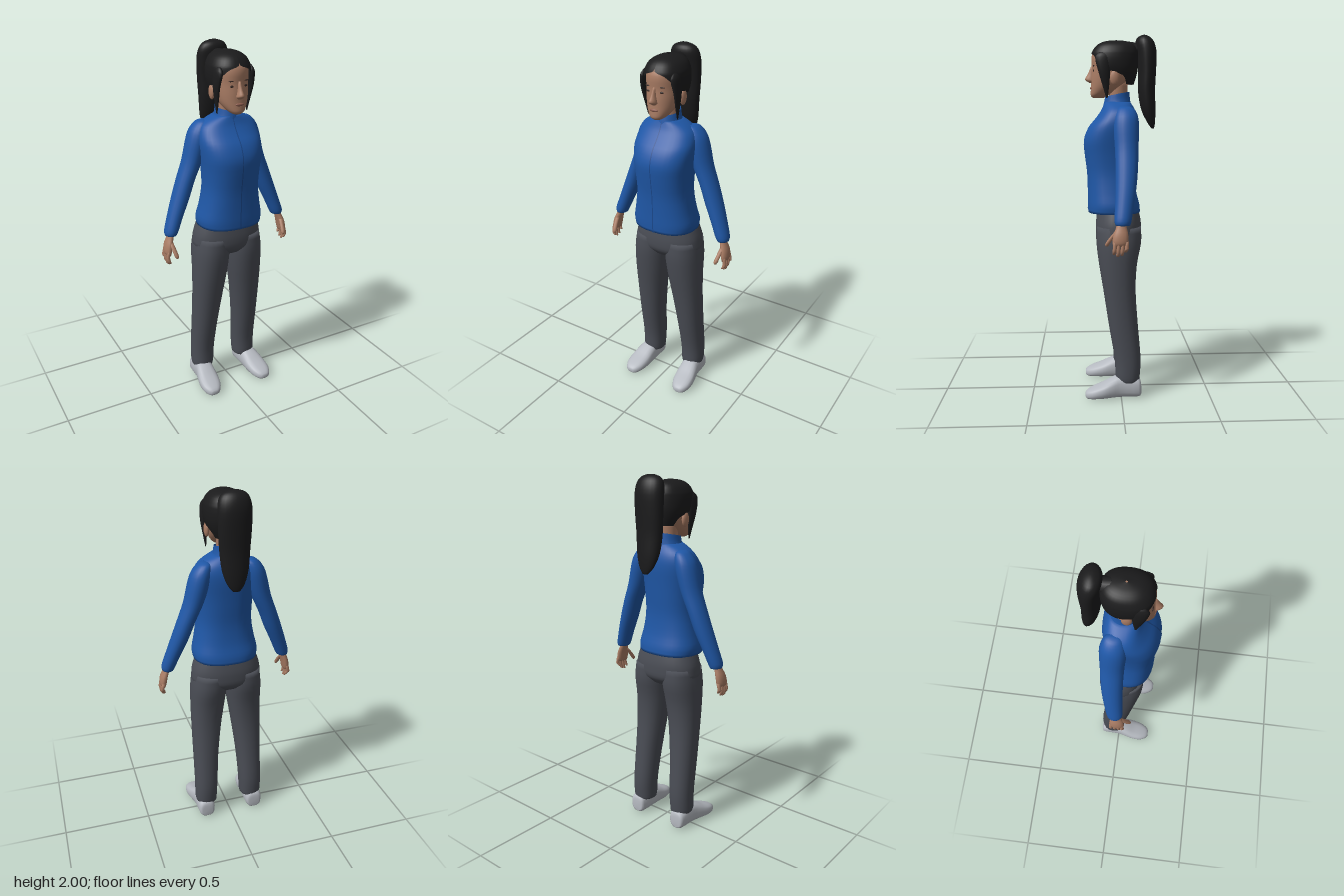
import * as THREE from 'three';

const mat = (name, color, side = THREE.FrontSide) => {
  const m = new THREE.MeshStandardMaterial({ color, side });
  m.name = name;
  return m;
};

// Smooth skin over level cross-sections, listed from low to high.
// Row: [y, xMin, xMax, zMin, zMax, a]; a leaves the front open by that angle on each side.
function loft(rows, { seg = 24, power = 2, steps = 3, open = false, caps = true, from = 0, to = Math.PI * 2, grow = 0 } = {}) {
  const spline = new THREE.CubicInterpolant(rows.map((_, i) => i), rows.flatMap(r => [...r.slice(0, 5), r[5] || 0]), 6);
  const n = (rows.length - 1) * steps, cols = open ? seg + 1 : seg, pos = [], idx = [];
  const bend = v => Math.sign(v) * Math.abs(v) ** (2 / power);
  for (let i = 0; i <= n; i++) {
    const [y, x0, x1, z0, z1, a] = spline.evaluate(i / steps);
    const gap = Math.max(a, 0);
    for (let j = 0; j < cols; j++) {
      const t = from + gap + (to - from - 2 * gap) * j / seg;
      pos.push((x0 + x1) / 2 + ((x1 - x0) / 2 + grow) * bend(Math.sin(t)), y,
        (z0 + z1) / 2 + ((z1 - z0) / 2 + grow) * bend(Math.cos(t)));
    }
  }
  for (let i = 0; i < n; i++) {
    for (let j = 0; j < seg; j++) {
      const k = (j + 1) % cols, a = i * cols, b = a + cols;
      idx.push(a + j, a + k, b + k, a + j, b + k, b + j);
    }
  }
  if (caps && !open) {
    for (const [r, base] of [[rows[0], 0], [rows[rows.length - 1], n * cols]]) {
      const c = pos.length / 3;
      pos.push((r[1] + r[2]) / 2, r[0], (r[3] + r[4]) / 2);
      for (let j = 0; j < seg; j++) {
        const k = (j + 1) % seg;
        if (base) idx.push(c, base + j, base + k);
        else idx.push(c, base + k, base + j);
      }
    }
  }
  const g = new THREE.BufferGeometry();
  g.setAttribute('position', new THREE.Float32BufferAttribute(pos, 3));
  g.setIndex(idx);
  g.computeVertexNormals();
  return g;
}

// Rows that are symmetric about x = 0: [y, halfWidth, zMin, zMax, a]
const sym = rows => rows.map(([y, w, z0, z1, a]) => [y, -w, w, z0, z1, a || 0]);

// Rounded finger through centre points [x, y, z], low to high
const finger = (pts, r) => loft(pts.map(([x, y, z], i) => {
  const k = i === 0 ? r * 0.5 : r;
  return [y, x - k, x + k, z - k, z + k];
}), { seg: 8, steps: 2 });

function ball(x, y, z, rx, ry, rz) {
  return new THREE.SphereGeometry(1, 14, 10).scale(rx, ry, rz).translate(x, y, z);
}

function mirrored(g) {
  const m = g.clone().scale(-1, 1, 1), ix = m.index.array;
  for (let i = 0; i < ix.length; i += 3) [ix[i], ix[i + 1]] = [ix[i + 1], ix[i]];
  m.computeVertexNormals();
  return m;
}

export function createModel() {
  const model = new THREE.Group();
  model.name = 'woman';
  const blue = mat('jacket blue', 0x1f57a6, THREE.DoubleSide);
  const navy = mat('seam navy', 0x1a488c, THREE.DoubleSide);
  const grey = mat('trouser grey', 0x4a4d55);
  const skin = mat('skin', 0xa97c64);
  const lip = mat('lips', 0x8f5f50);
  const black = mat('hair black', 0x1b1b1c, THREE.DoubleSide);
  const shoe = mat('shoe grey', 0xb6bac1);
  const dark = mat('eye brown', 0x3a2b26);

  const add = (name, geo, material) => {
    const mesh = new THREE.Mesh(geo, material);
    mesh.name = name;
    model.add(mesh);
  };
  const pair = (name, geo, material) => {
    add(name + 'Left', geo, material);
    add(name + 'Right', mirrored(geo), material);
  };

  // Jacket body, zip seam and collar
  const body = sym([
    [1.035, 0.178, -0.112, 0.178], [1.08, 0.183, -0.108, 0.18], [1.15, 0.168, -0.09, 0.18],
    [1.25, 0.153, -0.08, 0.183], [1.35, 0.156, -0.085, 0.195], [1.43, 0.165, -0.09, 0.2],
    [1.5, 0.172, -0.095, 0.175], [1.55, 0.168, -0.094, 0.135], [1.59, 0.15, -0.085, 0.106],
    [1.62, 0.11, -0.07, 0.092], [1.64, 0.065, -0.055, 0.085]]);
  add('jacketBody', loft(body, { seg: 36, power: 2.4 }), blue);
  add('zipSeam', loft(body, { seg: 2, power: 2.4, open: true, from: -0.008, to: 0.008, grow: 0.002 }), navy);
  const collar = loft(sym([
    [1.6, 0.085, -0.062, 0.1], [1.645, 0.066, -0.056, 0.09], [1.685, 0.06, -0.052, 0.08]]), { caps: false });
  const cp = collar.attributes.position;
  for (let i = 0; i < cp.count; i++) cp.setY(i, cp.getY(i) - 0.2 * cp.getZ(i));
  collar.computeVertexNormals();
  add('collar', collar, blue);

  // Sleeves
  pair('sleeve', loft([
    [1.005, 0.305, 0.368, -0.038, 0.038], [1.03, 0.292, 0.37, -0.045, 0.044], [1.1, 0.262, 0.348, -0.058, 0.04],
    [1.2, 0.216, 0.314, -0.075, 0.036], [1.3, 0.178, 0.278, -0.085, 0.034], [1.4, 0.132, 0.242, -0.09, 0.036],
    [1.5, 0.1, 0.218, -0.095, 0.042], [1.56, 0.09, 0.197, -0.09, 0.036], [1.6, 0.09, 0.163, -0.072, 0.02],
    [1.613, 0.105, 0.135, -0.045, 0]], { seg: 20 }), blue);

  // Hands
  pair('palm', loft([
    [0.9, 0.35, 0.378, -0.018, 0.05], [0.92, 0.345, 0.384, -0.026, 0.056], [0.96, 0.337, 0.378, -0.026, 0.05],
    [1.0, 0.325, 0.362, -0.018, 0.035], [1.04, 0.31, 0.35, -0.015, 0.03]], { seg: 14 }), skin);
  [[-0.018, 0.868], [0.003, 0.85], [0.024, 0.844], [0.044, 0.856]].forEach(([z, tip], i) =>
    pair('finger' + (i + 1), finger([[0.362, tip, z + 0.004], [0.37, tip + 0.012, z + 0.003], [0.374, 0.89, z], [0.366, 0.925, z]], 0.01), skin));
  pair('thumb', finger([[0.338, 0.895, 0.084], [0.34, 0.91, 0.08], [0.345, 0.94, 0.06], [0.35, 0.972, 0.034]], 0.012), skin);

  // Trousers
  add('hips', loft(sym([
    [0.86, 0.1, -0.08, 0.1], [0.9, 0.19, -0.113, 0.13], [0.95, 0.197, -0.118, 0.136],
    [1.0, 0.188, -0.114, 0.132], [1.08, 0.158, -0.095, 0.12]]), { seg: 30, power: 2.3 }), grey);
  pair('trouserLeg', loft([
    [0.09, 0.078, 0.2, -0.102, 0.026], [0.12, 0.075, 0.205, -0.106, 0.032], [0.22, 0.07, 0.205, -0.11, 0.036],
    [0.4, 0.058, 0.205, -0.095, 0.066], [0.6, 0.034, 0.206, -0.082, 0.096], [0.75, 0.012, 0.206, -0.09, 0.12],
    [0.87, 0, 0.203, -0.113, 0.134], [0.96, 0.005, 0.19, -0.112, 0.13]], { seg: 24, power: 2.2 }), grey);

  // Shoes, lofted from heel to toe and laid flat
  pair('shoe', loft([
    [-0.112, 0.12, 0.18, -0.075, -0.01], [-0.095, 0.102, 0.198, -0.11, 0], [0, 0.1, 0.204, -0.126, 0],
    [0.05, 0.1, 0.215, -0.11, 0], [0.1, 0.102, 0.225, -0.084, 0], [0.15, 0.112, 0.224, -0.064, 0],
    [0.185, 0.132, 0.208, -0.048, 0], [0.2, 0.152, 0.19, -0.034, -0.01]],
  { seg: 20, power: 2.6 }).rotateX(Math.PI / 2), shoe);

  // Neck, head and face
  add('neck', loft(sym([[1.6, 0.05, -0.04, 0.055], [1.66, 0.047, -0.04, 0.06], [1.76, 0.05, -0.045, 0.06]])), skin);
  add('head', loft(sym([
    [1.662, 0.022, 0.09, 0.148], [1.675, 0.042, 0.065, 0.16], [1.7, 0.062, 0.02, 0.16], [1.73, 0.077, -0.02, 0.158],
    [1.77, 0.087, -0.06, 0.157], [1.82, 0.092, -0.08, 0.153], [1.87, 0.093, -0.085, 0.156],
    [1.91, 0.084, -0.075, 0.142], [1.945, 0.045, -0.03, 0.09]]), { seg: 30, power: 2.15 }), skin);
  add('nose', loft(sym([
    [1.742, 0.012, 0.13, 0.165], [1.752, 0.021, 0.13, 0.182], [1.764, 0.019, 0.13, 0.191],
    [1.79, 0.012, 0.13, 0.176], [1.83, 0.008, 0.13, 0.158]]), { seg: 12 }), skin);
  add('mouth', ball(0, 1.714, 0.155, 0.025, 0.009, 0.009), lip);
  pair('eye', ball(0.036, 1.806, 0.144, 0.015, 0.006, 0.004), dark);
  pair('brow', ball(0.038, 1.832, 0.144, 0.02, 0.0035, 0.004), dark);
  pair('ear', ball(0.095, 1.766, 0.032, 0.014, 0.04, 0.026).rotateX(0), skin);

  // Hair: cap open around the face, side locks, tie and ponytail
  add('hairCap', loft(sym([
    [1.735, 0.075, -0.076, 0.12, 2.1], [1.78, 0.097, -0.09, 0.14, 1.85], [1.82, 0.108, -0.098, 0.15, 1.05],
    [1.86, 0.111, -0.1, 0.156, 0.75], [1.888, 0.109, -0.1, 0.157, 0.45], [1.908, 0.104, -0.098, 0.152, 0.02],
    [1.94, 0.085, -0.085, 0.13], [1.962, 0.05, -0.05, 0.09], [1.971, 0.004, 0.015, 0.025]]),
  { seg: 36, power: 2.25, open: true }), black);
  pair('sideLock', loft([
    [1.66, 0.086, 0.09, 0.07, 0.078], [1.72, 0.083, 0.1, 0.062, 0.096], [1.8, 0.083, 0.111, 0.056, 0.12],
    [1.87, 0.072, 0.109, 0.05, 0.136], [1.9, 0.08, 0.095, 0.06, 0.115]], { seg: 12 }), black);
  add('hairTie', new THREE.CylinderGeometry(0.035, 0.045, 0.08, 14).rotateX(-Math.PI / 2).translate(0, 1.92, -0.085), black);
  add('ponytail', loft(sym([
    [1.495, 0.018, -0.19, -0.176], [1.53, 0.046, -0.195, -0.152], [1.6, 0.07, -0.197, -0.118],
    [1.7, 0.08, -0.194, -0.1], [1.8, 0.086, -0.198, -0.1], [1.9, 0.088, -0.201, -0.092],
    [1.955, 0.08, -0.19, -0.085], [1.985, 0.058, -0.17, -0.095], [1.999, 0.02, -0.145, -0.12]]), { seg: 24 }), black);

  return model;
}
